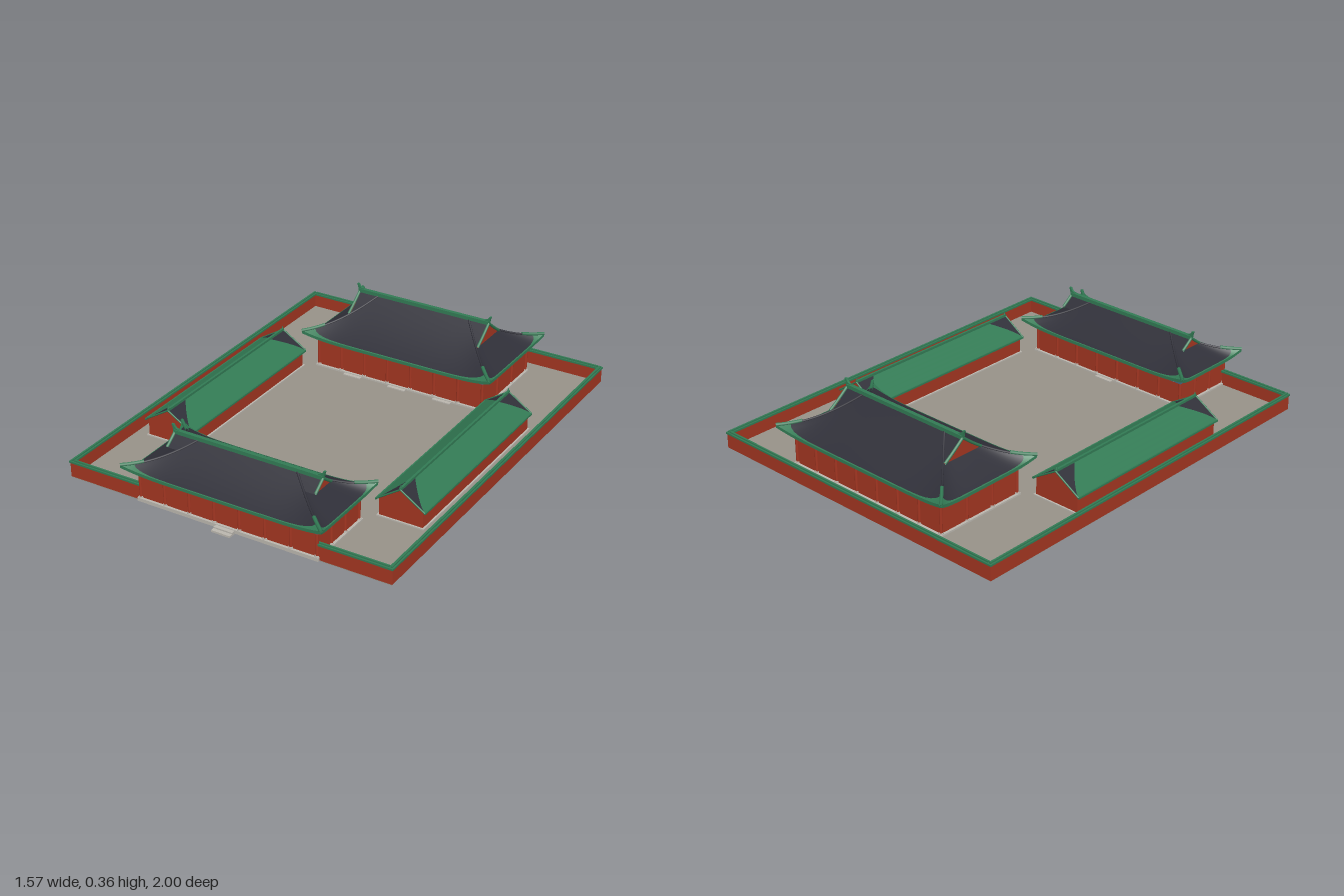
import * as THREE from 'three';

const mat = (name, color, side = THREE.FrontSide) => {
  const m = new THREE.MeshStandardMaterial({ color, side });
  m.name = name;
  return m;
};

export function createModel() {
  const root = new THREE.Group();
  root.name = 'templeCourtyard';
  const red = mat('red wall', 0xa23521);
  const green = mat('green tile', 0x327a54, THREE.DoubleSide);
  const dark = mat('dark tile', 0x2f2f38, THREE.DoubleSide);
  const stone = mat('paving stone', 0x969188);
  const pale = mat('pale stone', 0xb9b5ad);
  const blue = mat('blue frieze', 0x44687c);

  const add = (parent, name, geo, material) => {
    const m = new THREE.Mesh(geo, material);
    m.name = name;
    parent.add(m);
    return m;
  };
  // box given by its limits
  const box = (p, name, x0, x1, y0, y1, z0, z1, material) =>
    add(p, name, new THREE.BoxGeometry(x1 - x0, y1 - y0, z1 - z0), material)
      .position.set((x0 + x1) / 2, (y0 + y1) / 2, (z0 + z1) / 2);
  // surface from a rule f(u, v) -> [x, y, z]
  const sheet = (p, name, nu, nv, f, material) => {
    const pos = [], idx = [];
    for (let j = 0; j <= nv; j++)
      for (let i = 0; i <= nu; i++) pos.push(...f(i / nu, j / nv));
    for (let j = 0; j < nv; j++)
      for (let i = 0; i < nu; i++) {
        const a = j * (nu + 1) + i, b = a + nu + 1;
        idx.push(a, a + 1, b, b, a + 1, b + 1);
      }
    const g = new THREE.BufferGeometry();
    g.setAttribute('position', new THREE.Float32BufferAttribute(pos, 3));
    g.setIndex(idx);
    g.computeVertexNormals();
    return add(p, name, g, material);
  };
  const tube = (p, name, pts, r, material) => {
    const curve = new THREE.CatmullRomCurve3(pts.map(q => new THREE.Vector3(...q)));
    return add(p, name, new THREE.TubeGeometry(curve, pts.length * 2, r, 6), material);
  };
  const range = (n, a, b) => Array.from({ length: n + 1 }, (_, i) => a + (b - a) * i / n);

  // paved ground
  box(root, 'ground', -0.778, 0.778, 0, 0.01, -0.992, 0.938, stone);

  // perimeter wall with a tiled coping; the front leaves room for the gate hall
  const wall = (x0, x1, z0, z1) => {
    box(root, 'perimeterWall', x0, x1, 0.004, 0.072, z0, z1, red);
    box(root, 'wallCoping', x0 - 0.004, x1 + 0.004, 0.071, 0.079, z0 - 0.004, z1 + 0.004, green);
    box(root, 'wallCopingRidge', x0 + 0.003, x1 - 0.003, 0.078, 0.085, z0 + 0.003, z1 - 0.003, green);
  };
  wall(-0.781, -0.767, -0.996, 0.939);
  wall(0.767, 0.781, -0.996, 0.939);
  wall(-0.767, 0.767, -0.996, -0.982);
  wall(-0.767, -0.42, 0.925, 0.939);
  wall(0.44, 0.767, 0.925, 0.939);

  // hall with a swept hip-and-gable roof
  function hall(name, cz, o) {
    const g = new THREE.Group();
    g.name = name;
    g.position.set(0.013, 0, cz);
    root.add(g);
    const { a, b, y0, rise, w, d, gx, tg, fy } = o;
    const flare = 0.02, lift = 0.03;
    const yAt = t => y0 + rise * (0.68 * t + 0.32 * t * t);
    const hipX = t => a - (a - 0.235) * t;
    // roof point: side k, slope t (0 eave, 1 ridge), position s along the side
    const roof = (k, t, s, dy = 0) => {
      const sg = k % 2 ? -1 : 1, c = (1 - t) ** 3 * Math.abs(s) ** 7;
      const x = k < 2 ? s * hipX(t) : sg * hipX(t);
      const z = k < 2 ? sg * b * (1 - t) : s * b * (1 - t);
      return [x + Math.sign(x) * flare * c, yAt(t) + lift * c + dy, z + Math.sign(z) * flare * c];
    };

    // plinth, walls and frieze
    box(g, 'plinth', -w - 0.012, w + 0.012, 0.002, 0.018, -d - 0.012, d + 0.012, pale);
    box(g, 'hallBody', -w, w, 0.012, fy, -d, d, red);
    box(g, 'frieze', -w - 0.005, w + 0.005, fy, y0 + 0.004, -d - 0.005, d + 0.005, blue);

    // columns around the walls and pale plates on the frieze
    const column = (x, z) => {
      add(g, 'column', new THREE.CylinderGeometry(0.007, 0.007, fy - 0.014, 10), red)
        .position.set(x, fy / 2 + 0.007, z);
      add(g, 'columnBase', new THREE.CylinderGeometry(0.01, 0.011, 0.008, 10), pale)
        .position.set(x, 0.02, z);
    };
    for (const s of [-1, 1]) {
      range(7, -w, w).forEach(x => column(x, s * d));
      range(3, -d, d).slice(1, 3).forEach(z => column(s * w, z));
      range(6, -w * 6 / 7, w * 6 / 7).forEach(x =>
        box(g, 'friezePlate', x - 0.03, x + 0.03, fy + 0.004, fy + 0.008,
          s * (d + 0.005) - 0.002, s * (d + 0.005) + 0.002, pale));
    }

    // four roof slopes, tiled eave edges and soffits
    for (let k = 0; k < 4; k++) {
      sheet(g, 'roofSlope', 32, 12, (u, v) => roof(k, v, u * 2 - 1), dark);
      sheet(g, 'eaveTiles', 32, 2, (u, v) => {
        const s = u * 2 - 1;
        return roof(k, v * (0.02 + 0.13 * Math.abs(s) ** 10), s, 0.003);
      }, green);
      sheet(g, 'eaveBand', 32, 1, (u, v) => roof(k, 0, u * 2 - 1, 0.003 - 0.014 * v), green);
      sheet(g, 'soffit', 32, 2, (u, v) => {
        const s = u * 2 - 1, e = roof(k, 0, s, -0.011), sg = k % 2 ? -1 : 1;
        const q = k < 2 ? [s * w, y0, sg * d] : [sg * w, y0, s * d];
        return e.map((n, i) => n + (q[i] - n) * v);
      }, dark);
    }
    for (const sx of [-1, 1]) {
      for (const sz of [0, 1]) {
        // hip ridges, green towards the corner tip
        tube(g, 'hipRidge', range(8, 0.25, 1).map(t => roof(sz, t, sx, 0.001)), 0.005, dark);
        tube(g, 'hipTip', range(5, 0, 0.27).map(t => roof(sz, t, sx, 0.004)), 0.008, green);
        // upper roof carried out to the gable, with its bargeboard
        const sg = sz ? -1 : 1;
        sheet(g, 'gableRoof', 2, 6, (u, v) => {
          const t = tg + (1 - tg) * v, h = hipX(t);
          return [sx * (h + (gx - h) * u), yAt(t), sg * b * (1 - t)];
        }, dark);
        tube(g, 'bargeboard', range(5, tg, 1).map(t =>
          [sx * gx, yAt(t) + 0.002, sg * b * (1 - t)]), 0.007, green);
      }
      // red gable triangle
      const hw = b * (1 - tg), tri = new THREE.Shape();
      tri.moveTo(-hw, yAt(tg));
      tri.lineTo(hw, yAt(tg));
      tri.lineTo(0, yAt(1) - 0.004);
      const gable = add(g, 'gable', new THREE.ExtrudeGeometry(tri, { depth: 0.006, bevelEnabled: false }), red);
      gable.rotation.y = Math.PI / 2;
      gable.position.x = sx * (gx - 0.004) - 0.003;
      // curled ridge-end ornament
      const top = yAt(1), fin = new THREE.Shape();
      fin.moveTo(-0.02, top);
      fin.lineTo(0.006, top);
      fin.quadraticCurveTo(0.006, top + 0.02, 0.014, top + 0.036);
      fin.lineTo(0.004, top + 0.036);
      fin.quadraticCurveTo(-0.004, top + 0.018, -0.02, top + 0.016);
      const orn = add(g, 'ridgeOrnament', new THREE.ExtrudeGeometry(fin, { depth: 0.01, bevelEnabled: false }), green);
      orn.position.set(sx * gx, 0, sx * -0.005);
      if (sx < 0) orn.rotation.y = Math.PI;
    }
    box(g, 'mainRidge', -gx, gx, yAt(1) - 0.004, yAt(1) + 0.013, -0.009, 0.009, green);

    // low stone steps
    for (const [x, s] of o.steps) {
      const z = s * (d + 0.012);
      box(g, 'lowerStep', x - 0.045, x + 0.045, 0, 0.009, Math.min(z, z + s * 0.036), Math.max(z, z + s * 0.036), pale);
      box(g, 'upperStep', x - 0.045, x + 0.045, 0.005, 0.015, Math.min(z, z + s * 0.018), Math.max(z, z + s * 0.018), pale);
    }
  }
  hall('gateHall', 0.778, {
    a: 0.463, b: 0.197, y0: 0.15, rise: 0.12, w: 0.428, d: 0.16, gx: 0.358, tg: 0.7, fy: 0.124,
    steps: [[0, 1], [0, -1]],
  });
  hall('mainHall', -0.675, {
    a: 0.468, b: 0.257, y0: 0.165, rise: 0.163, w: 0.428, d: 0.22, gx: 0.338, tg: 0.6, fy: 0.144,
    steps: [[-0.235, 1], [0, 1], [0.235, 1]],
  });

  // long side hall with a gabled roof, dark triangles at the ends
  function sideHall(name, cx, hw, z0, z1, dA, dB) {
    const g = new THREE.Group();
    g.name = name;
    g.position.x = cx;
    root.add(g);
    const ey = 0.092, ry = 0.168, w = hw - 0.012;
    const s = new THREE.Shape();
    [[-w, 0.004], [w, 0.004], [w, 0.096], [0, ry - 0.004], [-w, 0.096]]
      .forEach(([x, y], i) => (i ? s.lineTo(x, y) : s.moveTo(x, y)));
    add(g, 'sideHallBody', new THREE.ExtrudeGeometry(s, { depth: z1 - z0 - 0.016, bevelEnabled: false }), red)
      .position.z = z0 + 0.008;
    box(g, 'sideHallPlinth', -w - 0.008, w + 0.008, 0.002, 0.016, z0, z1, pale);
    const cut = v => v ** 1.3;
    for (const m of [-1, 1]) {
      const slope = (label, from, to, material) => sheet(g, label, 1, 6, (u, v) =>
        [m * hw * (1 - v), ey + (ry - ey) * v, from(v) + (to(v) - from(v)) * u], material);
      slope('sideRoof', v => z0 + dA * cut(v), v => z1 - dB * cut(v), green);
      slope('sideRoofEnd', () => z0, v => z0 + dA * cut(v), dark);
      slope('sideRoofEnd', v => z1 - dB * cut(v), () => z1, dark);
      for (const z of [z0, z1])
        tube(g, 'roofEdge', [[m * hw, ey, z], [0, ry, z]], 0.004, green);
      box(g, 'sideEave', m * hw - 0.003, m * hw + 0.003, ey - 0.006, ey + 0.002, z0, z1, green);
    }
    box(g, 'sideRidge', -0.005, 0.005, ry - 0.004, ry + 0.008, z0, z1, green);
    for (const z of [z0 + 0.005, z1 - 0.005])
      add(g, 'ridgeSpike', new THREE.ConeGeometry(0.006, 0.022, 8), green).position.set(0, ry + 0.013, z);
  }
  sideHall('rightSideHall', -0.588, 0.124, -0.412, 0.503, 0.115, 0.13);
  sideHall('leftSideHall', 0.592, 0.114, -0.412, 0.55, 0.105, 0.12);

  return root;
}
